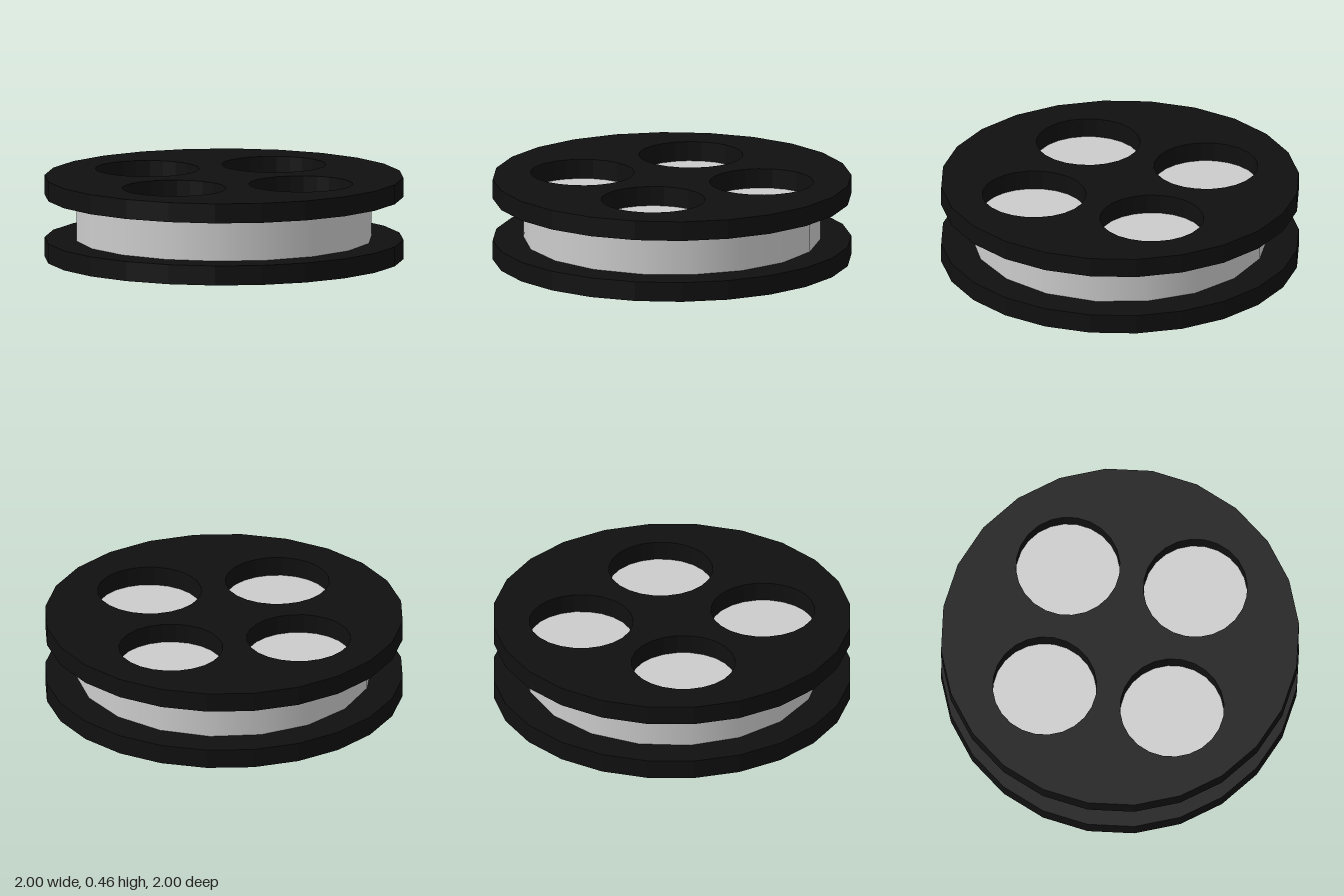
import * as THREE from 'three';

const FLANGE_RADIUS = 1;
const FLANGE_THICKNESS = 0.11;
const HOLE_RADIUS = 0.29;
const HOLE_OFFSET = 0.51;
const CORE_RADIUS = 0.827;
const CORE_HEIGHT = 0.24;

// 24-sided disc with four round windows, lying flat with its underside at y = 0
function flangeGeometry() {
  const disc = new THREE.Shape();
  disc.absarc(0, 0, FLANGE_RADIUS, 0, Math.PI * 2, false);
  for (let i = 0; i < 4; i++) {
    const angle = (i * Math.PI) / 2;
    const hole = new THREE.Path();
    hole.absarc(Math.cos(angle) * HOLE_OFFSET, Math.sin(angle) * HOLE_OFFSET, HOLE_RADIUS, 0, Math.PI * 2, true);
    disc.holes.push(hole);
  }
  const geometry = new THREE.ExtrudeGeometry(disc, {
    depth: FLANGE_THICKNESS, bevelEnabled: false, curveSegments: 12,
  });
  return geometry.rotateX(-Math.PI / 2);
}

export function createModel() {
  const reel = new THREE.Group();
  reel.name = 'reel';
  const black = new THREE.MeshStandardMaterial({ color: 0x101010 });
  const grey = new THREE.MeshStandardMaterial({ color: 0xcccccc });

  // Two identical flanges
  const geometry = flangeGeometry();
  const heights = { bottomFlange: 0, topFlange: FLANGE_THICKNESS + CORE_HEIGHT };
  for (const [name, y] of Object.entries(heights)) {
    const flange = new THREE.Mesh(geometry, black);
    flange.name = name;
    flange.position.y = y;
    reel.add(flange);
  }

  // Smooth 18-sided drum between the flanges, with a corner on the x axis
  const core = new THREE.Mesh(new THREE.CylinderGeometry(CORE_RADIUS, CORE_RADIUS, CORE_HEIGHT, 18), grey);
  core.name = 'core';
  core.rotation.y = Math.PI / 2;
  core.position.y = FLANGE_THICKNESS + CORE_HEIGHT / 2;
  reel.add(core);

  return reel;
}
